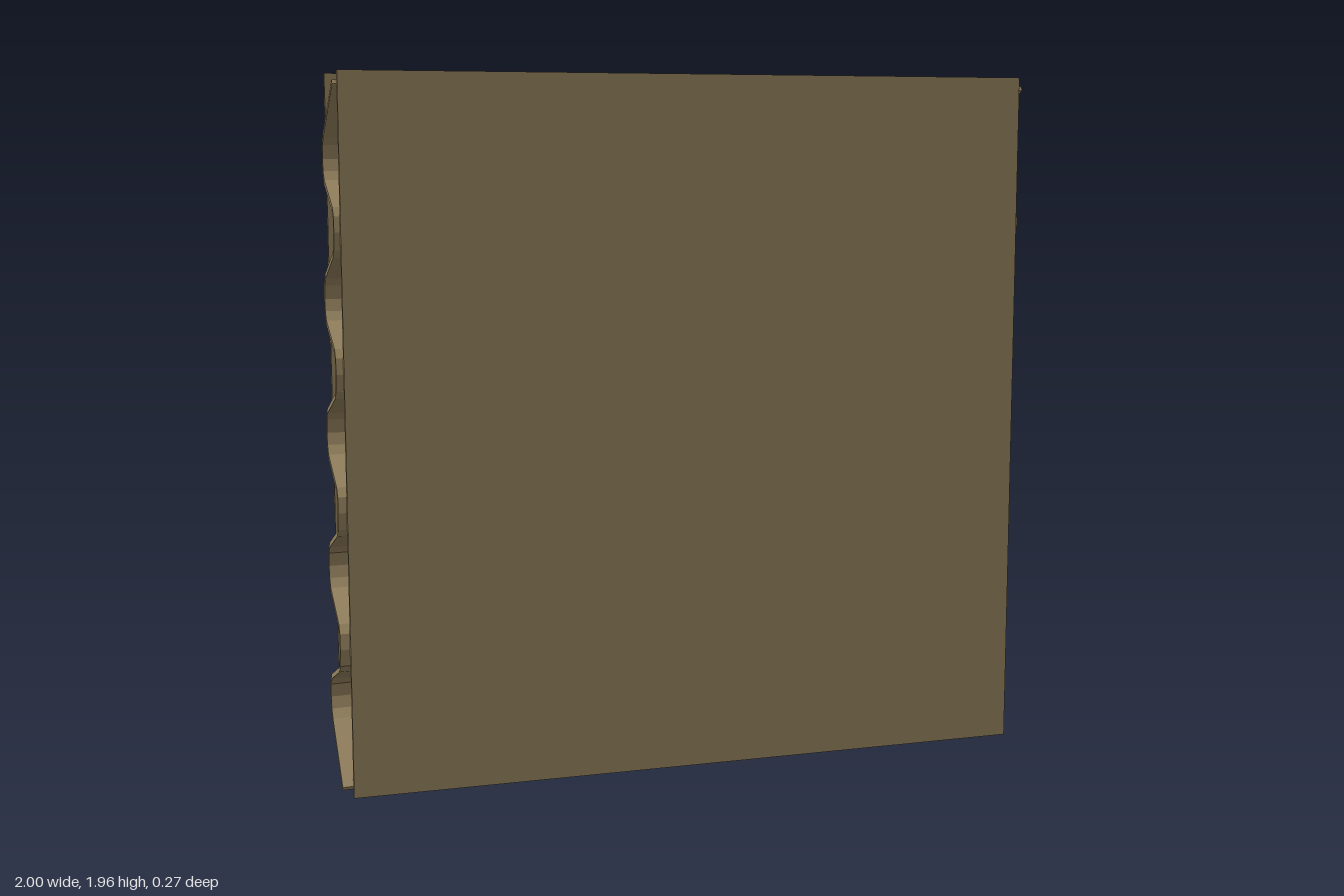
import * as THREE from 'three';

const card = new THREE.MeshStandardMaterial({ color: 0x94825e, flatShading: true });
card.name = 'cardboard';

const HEIGHT = 1.955;
const THICK = 0.013;

// Centre line of the wavy layer as [y, z], bottom to top
function waveProfile() {
  const pts = [[0.025, 0.122]];
  const crests = [0.225, 0.6, 0.975, 1.345, 1.725]; // near the back sheet
  crests.forEach((y, i) => {
    pts.push([y - (i === 0 ? 0.06 : 0.062), -0.068], [y - 0.035, -0.09], [y, -0.1], [y + 0.04, -0.095], [y + 0.064, -0.074]);
    if (i < crests.length - 1) {
      const v = (y + crests[i + 1]) / 2; // trough near the front sheet
      pts.push([v - 0.062, 0.09], [v - 0.045, 0.106], [v, 0.114], [v + 0.04, 0.108], [v + 0.06, 0.092]);
    }
  });
  pts.push([1.925, 0.122]);
  return pts;
}

// Closed outline of the ribbon: one side up, the other side back down
function ribbonOutline(line) {
  const a = [], b = [];
  line.forEach((p, i) => {
    const q = line[Math.max(i - 1, 0)], r = line[Math.min(i + 1, line.length - 1)];
    const dy = r[0] - q[0], dz = r[1] - q[1], k = THICK / 2 / Math.hypot(dy, dz);
    a.push([p[0] - dz * k, p[1] + dy * k]);
    b.push([p[0] + dz * k, p[1] - dy * k]);
  });
  return a.concat(b.reverse());
}

// Ribbon swept along x, slightly pinched near the middle and leaning a little
function corrugation() {
  const ring = ribbonOutline(waveProfile());
  const n = ring.length;
  const sections = [[-0.993, 1, 1], [-0.2, 0.976, 0.95], [0.989, 1, 1]];
  const pos = [], idx = [];
  for (const [x, sy, sz] of sections) {
    for (const [y, z] of ring) {
      const yy = 0.978 + (y - 0.978) * sy;
      pos.push(x + 0.009 * (y - 0.978), yy, z * sz);
    }
  }
  for (let s = 0; s < sections.length - 1; s++) {
    for (let i = 0; i < n; i++) {
      const a = s * n + i, b = s * n + (i + 1) % n;
      idx.push(a, a + n, b, b, a + n, b + n);
    }
  }
  // End faces
  const last = (sections.length - 1) * n;
  for (let i = 0; i < n / 2 - 1; i++) {
    const j = n - 1 - i;
    idx.push(i, i + 1, j, i + 1, j - 1, j);
    idx.push(last + i, last + j, last + i + 1, last + i + 1, last + j, last + j - 1);
  }
  // Make every face point outwards
  let volume = 0;
  const v = (i) => new THREE.Vector3().fromArray(pos, i * 3);
  for (let i = 0; i < idx.length; i += 3) volume += v(idx[i]).dot(v(idx[i + 1]).cross(v(idx[i + 2])));
  if (volume < 0) idx.reverse();
  const geo = new THREE.BufferGeometry();
  geo.setAttribute('position', new THREE.Float32BufferAttribute(pos, 3));
  geo.setIndex(idx);
  const flat = geo.toNonIndexed();
  flat.computeVertexNormals();
  return flat;
}

export function createModel() {
  const group = new THREE.Group();
  group.name = 'corrugatedBoard';

  // Flat outer sheets
  for (const [name, z] of [['frontSheet', 0.129], ['backSheet', -0.129]]) {
    const sheet = new THREE.Mesh(new THREE.BoxGeometry(1.955, HEIGHT, 0.015), card);
    sheet.name = name;
    sheet.position.set(0.005, HEIGHT / 2, z);
    group.add(sheet);
  }

  // Wavy inner layer
  const wave = new THREE.Mesh(corrugation(), card);
  wave.name = 'corrugatedLayer';
  group.add(wave);
  return group;
}
